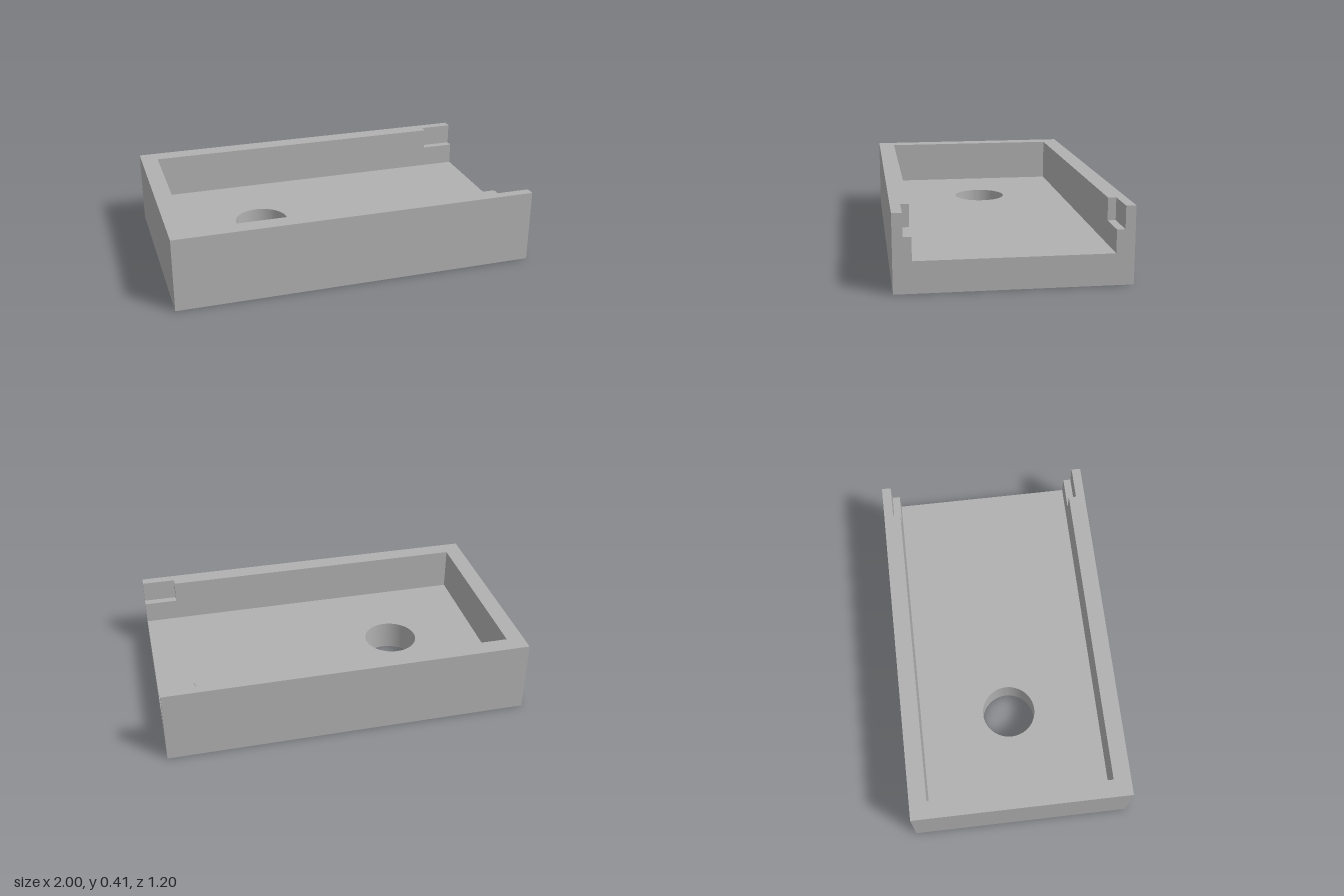
import * as THREE from 'three';
import { toCreasedNormals } from 'three/addons/utils/BufferGeometryUtils.js';

const L = 1, W = 0.6;              // half length and half width
const FLOOR = 0.165, LEDGE = 0.287, TOP = 0.406;
const INNER_X = -0.905, INNER_Z = 0.505;
const NOTCH_X = 0.815, NOTCH_Z = 0.548;

export function createModel() {
  const model = new THREE.Group();
  model.name = 'openTray';
  const grey = new THREE.MeshStandardMaterial({ color: 0xb0b0b0 });
  grey.name = 'plain grey';

  // Extrude a plan outline upwards from y0 to y1
  function slab(name, shape, y0, y1) {
    const extruded = new THREE.ExtrudeGeometry(shape, { depth: y1 - y0, bevelEnabled: false, curveSegments: 48 });
    const geometry = toCreasedNormals(extruded.rotateX(-Math.PI / 2), 0.5);
    geometry.clearGroups();
    const mesh = new THREE.Mesh(geometry, grey);
    mesh.name = name;
    mesh.position.y = y0;
    model.add(mesh);
  }

  // Plan outline from one half, mirrored across the long axis
  function mirroredShape(half) {
    const points = [...half, ...half.map(([x, z]) => [x, -z]).reverse()];
    return new THREE.Shape(points.map(([x, z]) => new THREE.Vector2(x, z)));
  }

  // Floor with a round through hole
  const floor = mirroredShape([[-L, -W], [L, -W]]);
  floor.holes.push(new THREE.Path().absarc(-0.395, 0, 0.148, 0, Math.PI * 2, true));
  slab('floor', floor, 0, FLOOR);

  // U-shaped wall, open at the +x end
  slab('lowerWall', mirroredShape([
    [-L, -W], [L, -W], [L, -INNER_Z], [INNER_X, -INNER_Z],
  ]), FLOOR, LEDGE);

  // Upper wall, recessed by a notch at each open end
  slab('upperWall', mirroredShape([
    [-L, -W], [L, -W], [L, -NOTCH_Z], [NOTCH_X, -NOTCH_Z],
    [NOTCH_X, -INNER_Z], [INNER_X, -INNER_Z],
  ]), LEDGE, TOP);

  return model;
}
